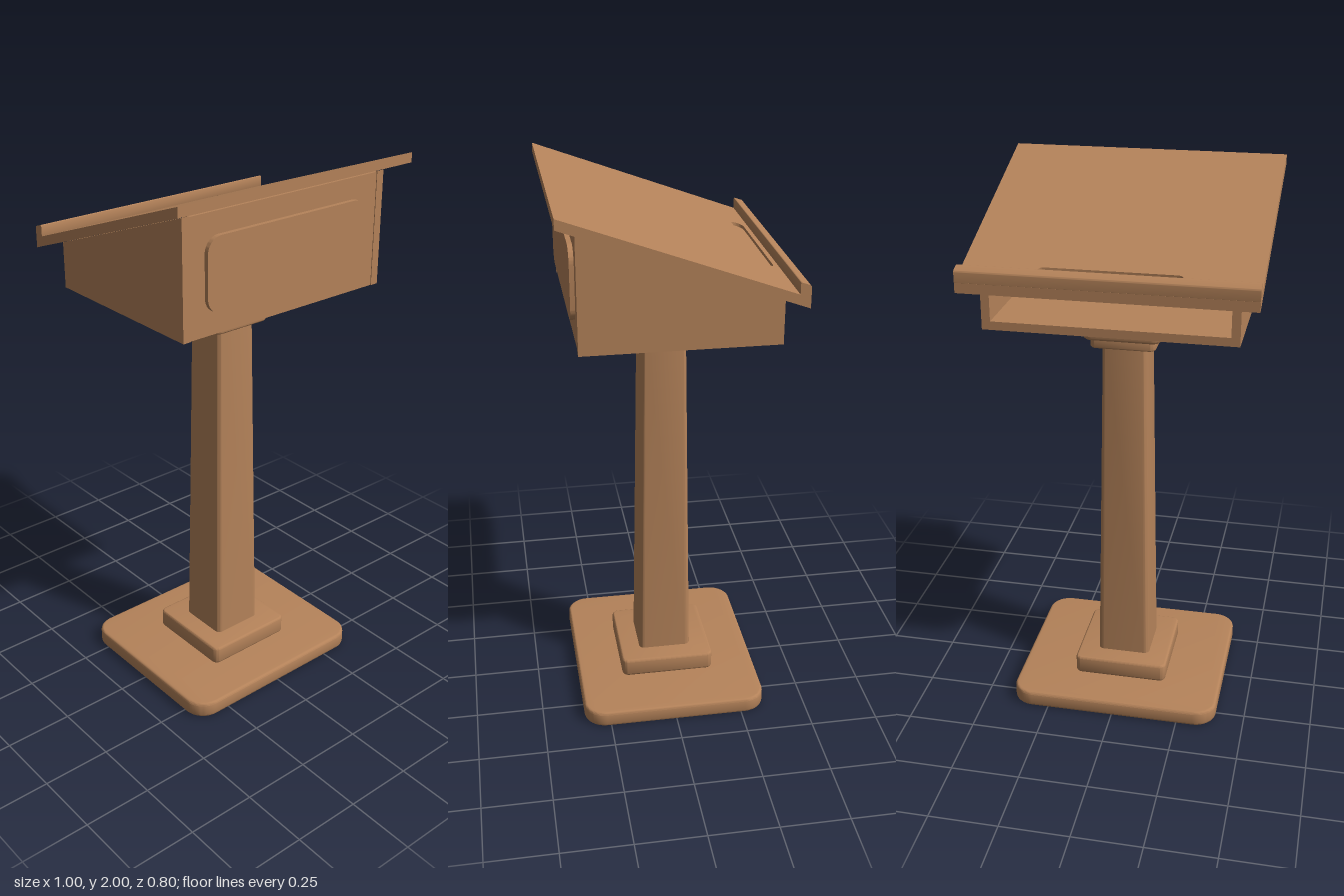
import * as THREE from 'three';
import { toCreasedNormals } from 'three/addons/utils/BufferGeometryUtils.js';

const SLOPE = Math.tan(THREE.MathUtils.degToRad(20));

// Rounded rectangle centred on (cx, cy)
function roundedRect(w, h, r, cx = 0, cy = 0, Type = THREE.Shape) {
  const s = new Type(), x = w / 2 - r, y = h / 2 - r;
  s.absarc(cx + x, cy + y, r, 0, Math.PI / 2);
  s.absarc(cx - x, cy + y, r, Math.PI / 2, Math.PI);
  s.absarc(cx - x, cy - y, r, Math.PI, Math.PI * 1.5);
  s.absarc(cx + x, cy - y, r, Math.PI * 1.5, Math.PI * 2);
  s.closePath();
  return s;
}

// Horizontal slab with rounded corners and softened edges, from y0 to y1
function slab(w, d, r, y0, y1, bevel) {
  const g = new THREE.ExtrudeGeometry(roundedRect(w - 2 * bevel, d - 2 * bevel, r - bevel), {
    depth: y1 - y0 - 2 * bevel, curveSegments: 6,
    bevelEnabled: bevel > 0, bevelThickness: bevel, bevelSize: bevel, bevelSegments: 3,
  });
  return g.rotateX(-Math.PI / 2).translate(0, y0 + bevel, 0);
}

// Move every vertex by a rule
function deform(g, rule) {
  const p = g.attributes.position, v = new THREE.Vector3();
  for (let i = 0; i < p.count; i++) {
    rule(v.fromBufferAttribute(p, i));
    p.setXYZ(i, v.x, v.y, v.z);
  }
  return g;
}

// Tilt a flat part into the plane of the reading surface (local y = 0 is its top)
const tilt = (g) => deform(g, (v) => { v.y += 2 + SLOPE * (v.z - 0.4); });

export function createModel() {
  const model = new THREE.Group();
  model.name = 'lectern';
  const wood = new THREE.MeshStandardMaterial({ color: 0xb5835a });
  wood.name = 'warm wood';

  const add = (name, geometry, parent = model) => {
    const mesh = new THREE.Mesh(toCreasedNormals(geometry, 0.6), wood);
    mesh.name = name;
    parent.add(mesh);
    return mesh;
  };
  const box = (w, h, d, x, y, z) => new THREE.BoxGeometry(w, h, d).translate(x, y, z);

  // Foot and stem
  add('base', slab(0.785, 0.69, 0.08, 0, 0.06, 0.01));
  add('plinth', slab(0.355, 0.355, 0.025, 0.06, 0.13, 0.008));
  add('post', deform(slab(0.2, 0.2, 0.02, 0.13, 1.41, 0), (v) => {
    const k = 1 - 0.2 * (v.y - 0.13) / 1.28;
    v.x *= k;
    v.z *= k;
  }));
  add('lowerCollar', slab(0.235, 0.235, 0.025, 1.405, 1.445, 0.006));
  add('upperCollar', slab(0.28, 0.28, 0.035, 1.44, 1.535, 0.012));

  // Open-backed case
  const boxCase = new THREE.Group();
  boxCase.name = 'case';
  model.add(boxCase);
  const under = (z) => 1.962 + SLOPE * (z - 0.4);
  const profile = new THREE.Shape([
    new THREE.Vector2(-0.335, 1.53), new THREE.Vector2(0.335, 1.53),
    new THREE.Vector2(0.335, under(0.335)), new THREE.Vector2(-0.335, under(-0.335)),
  ]);
  for (const [name, x] of [['leftSide', 0.405], ['rightSide', -0.435]]) {
    const g = new THREE.ExtrudeGeometry(profile, { depth: 0.03, bevelEnabled: false });
    // Profile runs along z, thickness along x
    g.rotateY(-Math.PI / 2).translate(x + 0.03, 0, 0);
    add(name, g, boxCase);
  }
  add('caseFloor', box(0.81, 0.03, 0.665, 0, 1.545, -0.0025), boxCase);
  add('frontPanel', box(0.81, 0.405, 0.03, 0, 1.7325, 0.317), boxCase);
  const raised = new THREE.ExtrudeGeometry(roundedRect(0.69, 0.255, 0.055, 0, 1.7325), {
    depth: 0.018, bevelEnabled: false, curveSegments: 8,
  });
  add('raisedPanel', raised.translate(0, 0, 0.33), boxCase);

  // Sloping reading surface with a shallow pen groove
  const desk = new THREE.Group();
  desk.name = 'desk';
  model.add(desk);
  const face = new THREE.Shape([
    new THREE.Vector2(-0.5, -0.4), new THREE.Vector2(0.5, -0.4),
    new THREE.Vector2(0.5, 0.4), new THREE.Vector2(-0.5, 0.4),
  ]);
  face.holes.push(roundedRect(0.49, 0.046, 0.022, 0, 0.32, THREE.Path));
  const top = new THREE.ExtrudeGeometry(face, { depth: 0.012, bevelEnabled: false, curveSegments: 6 });
  add('readingSurface', tilt(top.rotateX(-Math.PI / 2).translate(0, -0.012, 0)), desk);
  add('deskBoard', tilt(box(1, 0.023, 0.8, 0, -0.0235, 0)), desk);

  // Book stop along the low edge, with softened long edges
  const stop = new THREE.ExtrudeGeometry(roundedRect(0.036, 0.046, 0.006, -0.382, 0.018), {
    depth: 1, bevelEnabled: false, curveSegments: 3,
  });
  add('bookStop', tilt(stop.rotateY(-Math.PI / 2).translate(0.5, 0, 0)), desk);

  return model;
}
